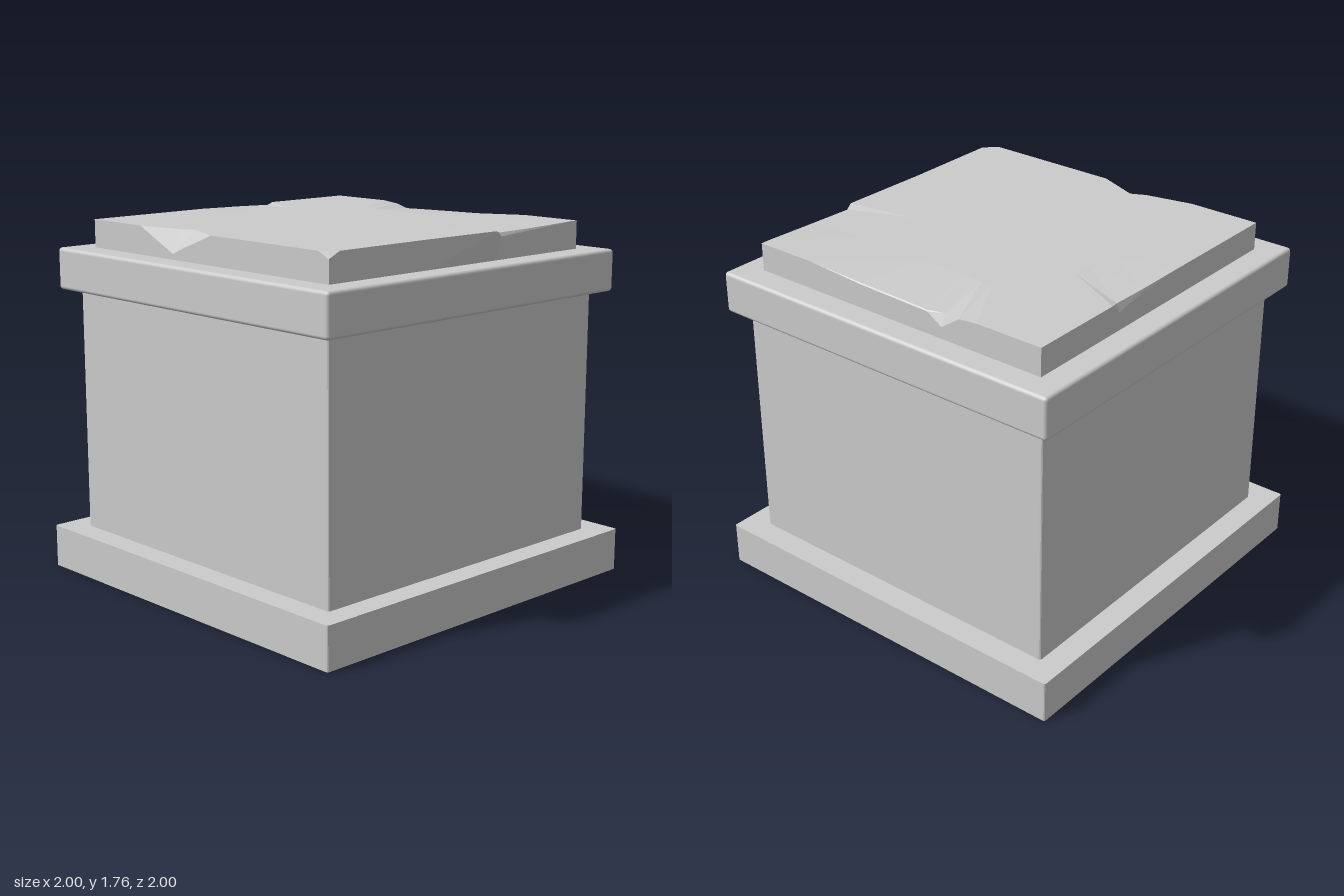
import * as THREE from 'three';
import { RoundedBoxGeometry } from 'three/addons/geometries/RoundedBoxGeometry.js';

const stone = new THREE.MeshStandardMaterial({ color: 0xcccccc });
const chippedStone = new THREE.MeshStandardMaterial({ color: 0xcccccc, flatShading: true });

// Square block with slightly rounded vertical edges
function block(name, h, y0, y1, r = 0.012) {
  const s = new THREE.Shape();
  s.moveTo(-h + r, -h);
  s.lineTo(h - r, -h).quadraticCurveTo(h, -h, h, -h + r);
  s.lineTo(h, h - r).quadraticCurveTo(h, h, h - r, h);
  s.lineTo(-h + r, h).quadraticCurveTo(-h, h, -h, h - r);
  s.lineTo(-h, -h + r).quadraticCurveTo(-h, -h, -h + r, -h);
  const g = new THREE.ExtrudeGeometry(s, { depth: y1 - y0, bevelEnabled: false, curveSegments: 3 });
  g.rotateX(-Math.PI / 2).translate(0, y0, 0);
  const m = new THREE.Mesh(g, stone);
  m.name = name;
  return m;
}

// Top slab: each side lists [position along side, chip inset, chip depth, sag of the top edge]
function chippedCap() {
  const h = 0.825, yBottom = 1.61, yTop = 1.76;
  const sides = [
    // front, from -x to +x
    [[-0.825, 0.03, 0.03, 0], [-0.76, 0, 0, 0], [-0.25, 0, 0, 0], [0.22, -0.012, 0, 0],
      [0.27, 0.01, 0.03, 0.012], [0.5, 0.004, 0.018, 0.008], [0.78, 0, 0, 0]],
    // +x side, from front to back
    [[-0.825, 0, 0, 0], [-0.5, 0, 0, 0], [-0.2, 0.006, 0.02, 0.015], [0.2, 0.006, 0.03, 0.025],
      [0.28, 0.03, 0.08, 0.025], [0.38, 0, 0.03, 0.01], [0.48, 0, 0, 0]],
    // back, from +x to -x
    [[-0.825, 0, 0, 0], [-0.33, 0, 0, 0], [-0.28, 0.015, 0.05, 0.01], [-0.1, 0.005, 0.02, 0.005], [0.15, 0, 0, 0]],
    // -x side, from back to front
    [[-0.825, 0, 0, 0], [-0.46, 0, 0, 0], [-0.22, 0.05, 0.11, 0], [-0.15, 0.085, 0.08, 0],
      [0.06, 0, 0, 0], [0.76, 0, 0, 0]],
  ];
  const rings = [[], [], [], []];
  sides.forEach((side, k) => side.forEach(([t, inset, drop, sag], i) => {
    const put = (ring, along, out, y) => {
      const v = new THREE.Vector3(along, y, out);
      rings[ring].push(v.applyAxisAngle(new THREE.Vector3(0, 1, 0), k * Math.PI / 2));
    };
    const edge = h - Math.min(inset, 0);
    put(0, t, h, yBottom);
    put(1, t, edge, yTop - drop);
    put(2, i === 0 ? t + inset : t, h - inset, yTop - sag);
    put(3, t * 0.6, h * 0.6, yTop);
  }));
  const pos = [];
  const tri = (...vs) => vs.forEach((v) => pos.push(v.x, v.y, v.z));
  const n = rings[0].length;
  const top = new THREE.Vector3(0, yTop, 0), bottom = new THREE.Vector3(0, yBottom, 0);
  for (let i = 0; i < n; i++) {
    const j = (i + 1) % n;
    for (let r = 0; r < 3; r++) {
      const a = rings[r], b = rings[r + 1];
      tri(a[i], a[j], b[j]);
      tri(a[i], b[j], b[i]);
    }
    tri(rings[3][i], rings[3][j], top);
    tri(rings[0][j], rings[0][i], bottom);
  }
  const g = new THREE.BufferGeometry();
  g.setAttribute('position', new THREE.Float32BufferAttribute(pos, 3));
  g.computeVertexNormals();
  const m = new THREE.Mesh(g, chippedStone);
  m.name = 'chippedTopSlab';
  return m;
}

export function createModel() {
  const group = new THREE.Group();
  group.name = 'stonePedestal';
  group.add(block('base', 1, 0, 0.21), block('body', 0.878, 0.2, 1.43));

  // Overhanging cornice with softened edges
  const cornice = new THREE.Mesh(new RoundedBoxGeometry(1.912, 0.206, 1.912, 3, 0.018), stone);
  cornice.position.y = 1.52;
  cornice.name = 'cornice';
  group.add(cornice, chippedCap());
  return group;
}
